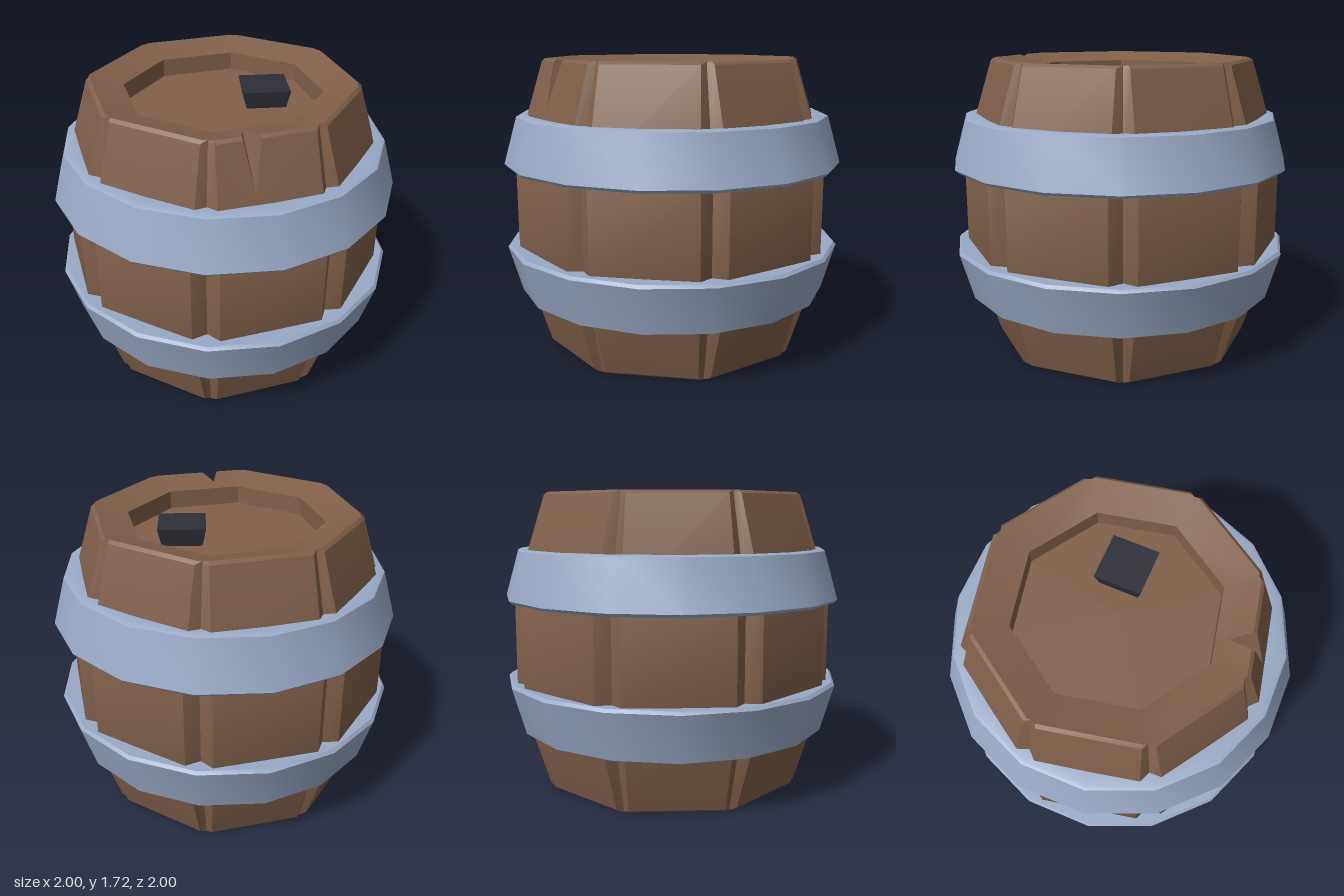
import * as THREE from 'three';
import { toCreasedNormals } from 'three/addons/utils/BufferGeometryUtils.js';

const HEIGHT = 1.715;

function mat(name, color) {
  const m = new THREE.MeshStandardMaterial({ color });
  m.name = name;
  return m;
}

// Mesh from a flat list of triangle corners, smooth only across gentle angles
function meshFrom(points, material, name) {
  const g = new THREE.BufferGeometry().setFromPoints(points);
  const mesh = new THREE.Mesh(toCreasedNormals(g, THREE.MathUtils.degToRad(30)), material);
  mesh.name = name;
  return mesh;
}

// Eight staves with a V groove at each corner, sunken lids and one chipped stave
function barrelBody(material) {
  // [radius, y, groove half width, groove depth], bottom half, then mirrored
  const half = [
    [0, 0.155, 0, 0], [0.565, 0.155, 0, 0], [0.565, 0.05, 0, 0],
    [0.752, 0, 0.025, 0.005], [0.77, 0.015, 0.035, 0.02], [0.944, 0.58, 0.075, 0.055],
  ];
  const profile = [...half, ...half.map(([r, y, w, d]) => [r, HEIGHT - y, w, d]).reverse()];
  const rings = profile.map(([r, y, w, d]) => {
    const ring = [];
    for (let k = 0; k < 8; k++) {
      for (const side of [-1, 0, 1]) {
        const a = k * Math.PI / 4 + (r ? side * w / r : 0);
        const q = side === 0 ? r - d : r;
        ring.push(new THREE.Vector3(q * Math.sin(a), y, q * Math.cos(a)));
      }
    }
    return ring;
  });

  const out = [];
  const tri = (a, b, c) => {
    if (new THREE.Triangle(a, b, c).getArea() > 1e-7) out.push(a, b, c);
  };
  const quad = (a, b, c, d) => { tri(a, b, c); tri(a, c, d); };
  const fan = (apex, pts) => {
    for (let i = 0; i + 1 < pts.length; i++) tri(apex, pts[i], pts[i + 1]);
  };

  const CHIP = 23, WALL = 6, BEVEL = 7, RIM = 8;
  for (let j = 0; j + 1 < rings.length; j++) {
    for (let i = 0; i < 24; i++) {
      if (i === CHIP && j >= WALL && j <= RIM) continue;
      const n = (i + 1) % 24;
      quad(rings[j][i], rings[j][n], rings[j + 1][n], rings[j + 1][i]);
    }
  }

  // Chipped stave: a wedge cut through wall, bevel and rim
  const at = (j, t) => rings[j][CHIP].clone().lerp(rings[j][0], t);
  const inside = (j, t, s) => at(j, t).lerp(at(j + 1, t), s);
  const t0 = 0.27, t1 = 0.45;
  const low = inside(WALL, 0.36, 0.54), back = inside(RIM, 0.33, 0.63);
  fan(low, [at(7, t0), at(7, 0), at(6, 0), at(6, 1), at(7, 1), at(7, t1)]);
  quad(at(BEVEL, 0), at(BEVEL, t0), at(RIM, t0), at(RIM, 0));
  quad(at(BEVEL, t1), at(BEVEL, 1), at(RIM, 1), at(RIM, t1));
  fan(back, [at(8, t1), at(8, 1), at(9, 1), at(9, 0), at(8, 0), at(8, t0)]);
  quad(low, back, at(8, t0), at(7, t0));
  quad(low, at(7, t1), at(8, t1), back);

  const mesh = meshFrom(out, material, 'barrelStaves');
  mesh.position.z = -0.012;
  return mesh;
}

// Sixteen-sided tapered hoop with bevelled edges, wide end at the bottom
function hoop(material, name) {
  const profile = [
    [0.78, 1.1], [0.985, 1.095], [1.0, 1.112], [0.922, 1.385], [0.9, 1.395], [0.78, 1.385],
  ].map(([r, y]) => new THREE.Vector2(r, y));
  const g = new THREE.LatheGeometry(profile, 16).toNonIndexed();
  g.deleteAttribute('normal');
  g.deleteAttribute('uv');
  const mesh = new THREE.Mesh(toCreasedNormals(g, THREE.MathUtils.degToRad(30)), material);
  mesh.name = name;
  return mesh;
}

export function createModel() {
  const wood = mat('wood', 0x80604a);
  const iron = mat('iron', 0x9aaac6);
  const dark = mat('darkStopper', 0x2e2e38);

  const model = new THREE.Group();
  model.name = 'barrel';
  model.add(barrelBody(wood));

  // Lower hoop is the upper one turned upside down
  const upper = hoop(iron, 'upperHoop');
  const lower = hoop(iron, 'lowerHoop');
  lower.rotation.x = Math.PI;
  lower.position.y = HEIGHT + 0.01;
  model.add(upper, lower);

  // Square stopper, narrower at its foot
  const g = new THREE.CylinderGeometry(0.188, 0.15, 0.13, 4, 1).toNonIndexed();
  g.computeVertexNormals();
  const stopper = new THREE.Mesh(g, dark);
  stopper.name = 'stopper';
  stopper.position.set(0.23, 1.597, 0.083);
  stopper.rotation.y = Math.atan2(0.185, -0.033) - Math.PI / 2;
  stopper.rotation.y = Math.atan2(0.035, 0.19);
  model.add(stopper);

  return model;
}
